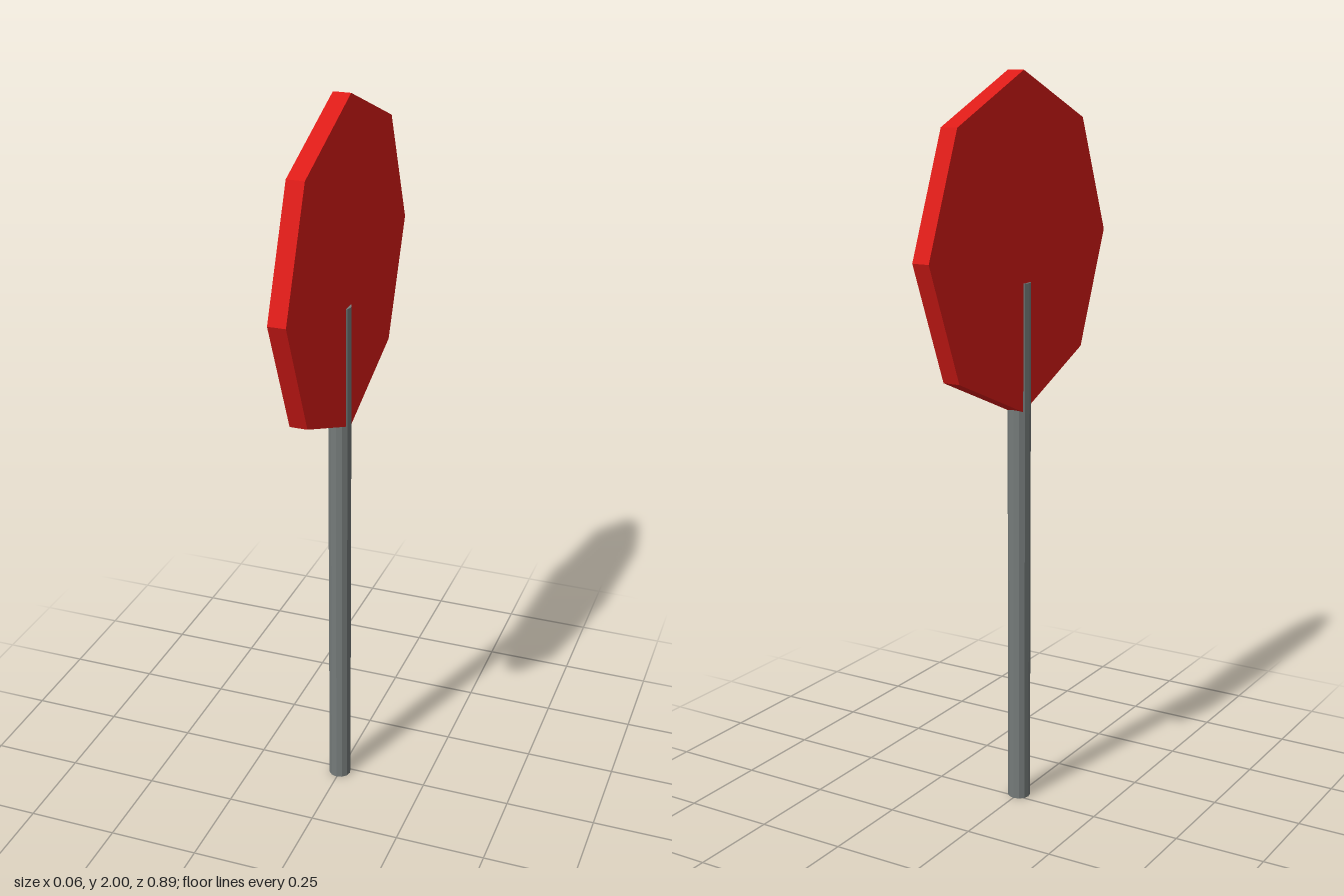
import * as THREE from 'three';

const paint = (color) => new THREE.MeshStandardMaterial({ color, flatShading: true });

export function createModel() {
  const sign = new THREE.Group();
  sign.name = 'roadSign';

  // Octagonal plate, a corner pointing up, its faces towards +x and -x
  const plate = new THREE.Mesh(
    new THREE.CylinderGeometry(0.443, 0.443, 0.047, 8).rotateZ(Math.PI / 2),
    paint(0xdd1c18)
  );
  plate.name = 'signPlate';
  plate.position.set(-0.001, 1.557, 0);
  sign.add(plate);

  // Post, running up through the lower part of the plate
  const height = 1.457;
  const post = new THREE.Mesh(new THREE.CylinderGeometry(0.031, 0.031, height, 12), paint(0x757b7a));
  post.name = 'post';
  post.position.set(-0.001, height / 2, 0.017);
  sign.add(post);

  return sign;
}
